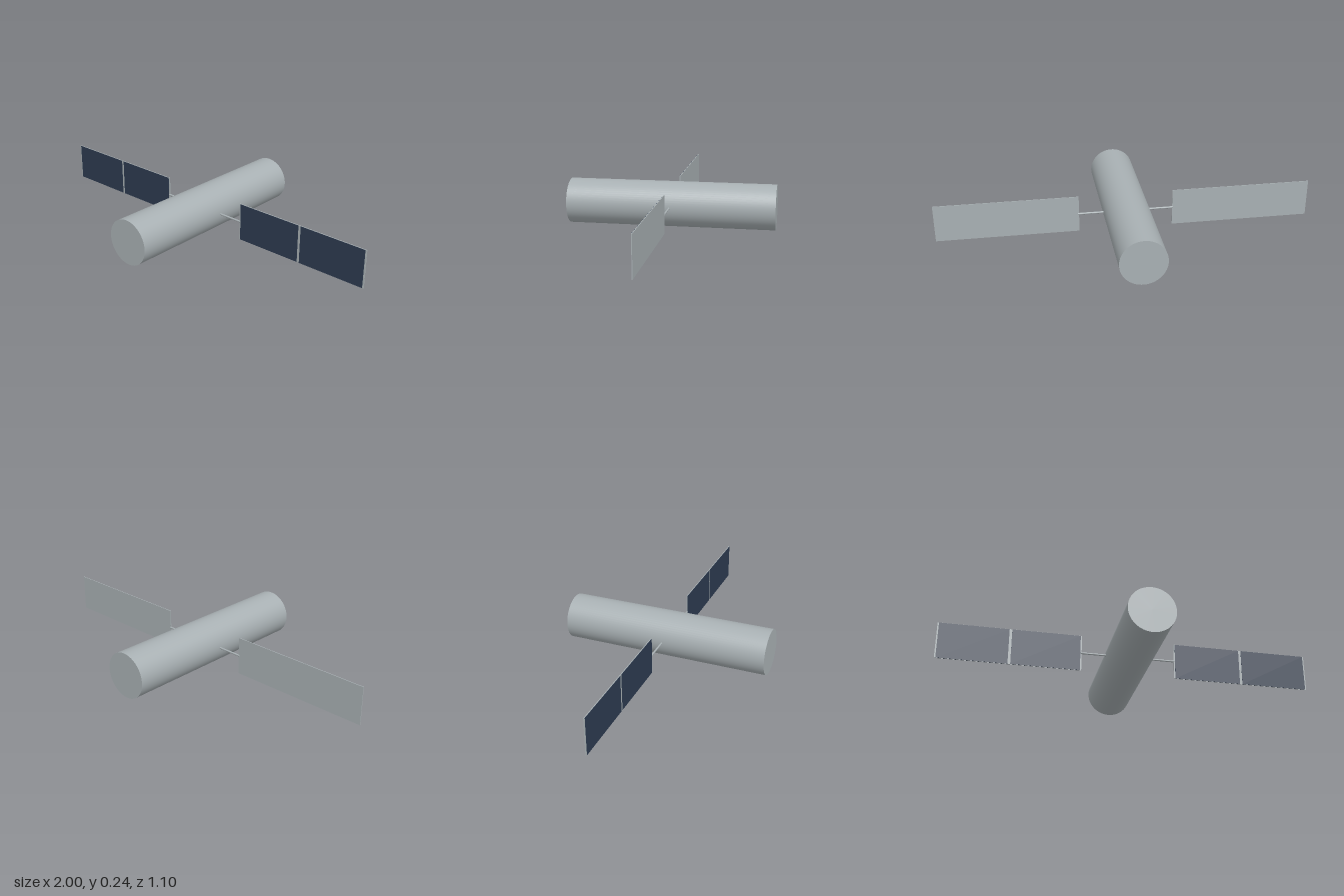
import * as THREE from 'three';

export function createModel() {
  const metal = new THREE.MeshStandardMaterial({ color: 0xa8b0b3 });
  metal.name = 'light grey metal';
  const solar = new THREE.MeshStandardMaterial({ color: 0x2d3b50 });
  solar.name = 'dark blue cells';

  const model = new THREE.Group();
  model.name = 'satellite';
  const radius = 0.12, axisY = 0.122;

  function add(parent, name, geometry, material, x = 0, y = 0, z = 0) {
    const mesh = new THREE.Mesh(geometry, material);
    mesh.name = name;
    mesh.position.set(x, y, z);
    parent.add(mesh);
    return mesh;
  }

  // Main hull, lying along z
  const hull = new THREE.CylinderGeometry(radius, radius, 1.1, 64).rotateX(Math.PI / 2);
  add(model, 'body', hull, metal, 0, axisY, 0);

  // One wing on each side: boom, backing panel and two cell plates on the front
  for (const side of [1, -1]) {
    const wing = new THREE.Group();
    wing.name = side > 0 ? 'leftWing' : 'rightWing';
    wing.position.y = axisY;
    model.add(wing);

    const boom = new THREE.CylinderGeometry(0.005, 0.005, 0.16, 16).rotateZ(Math.PI / 2);
    add(wing, 'boom', boom, metal, side * 0.175);
    add(wing, 'panel', new THREE.BoxGeometry(0.75, 0.2, 0.004), metal, side * 0.625);
    for (const x of [0.4375, 0.8125]) {
      add(wing, 'solarCells', new THREE.BoxGeometry(0.361, 0.198, 0.002), solar, side * x, 0, 0.0025);
    }
  }
  return model;
}
